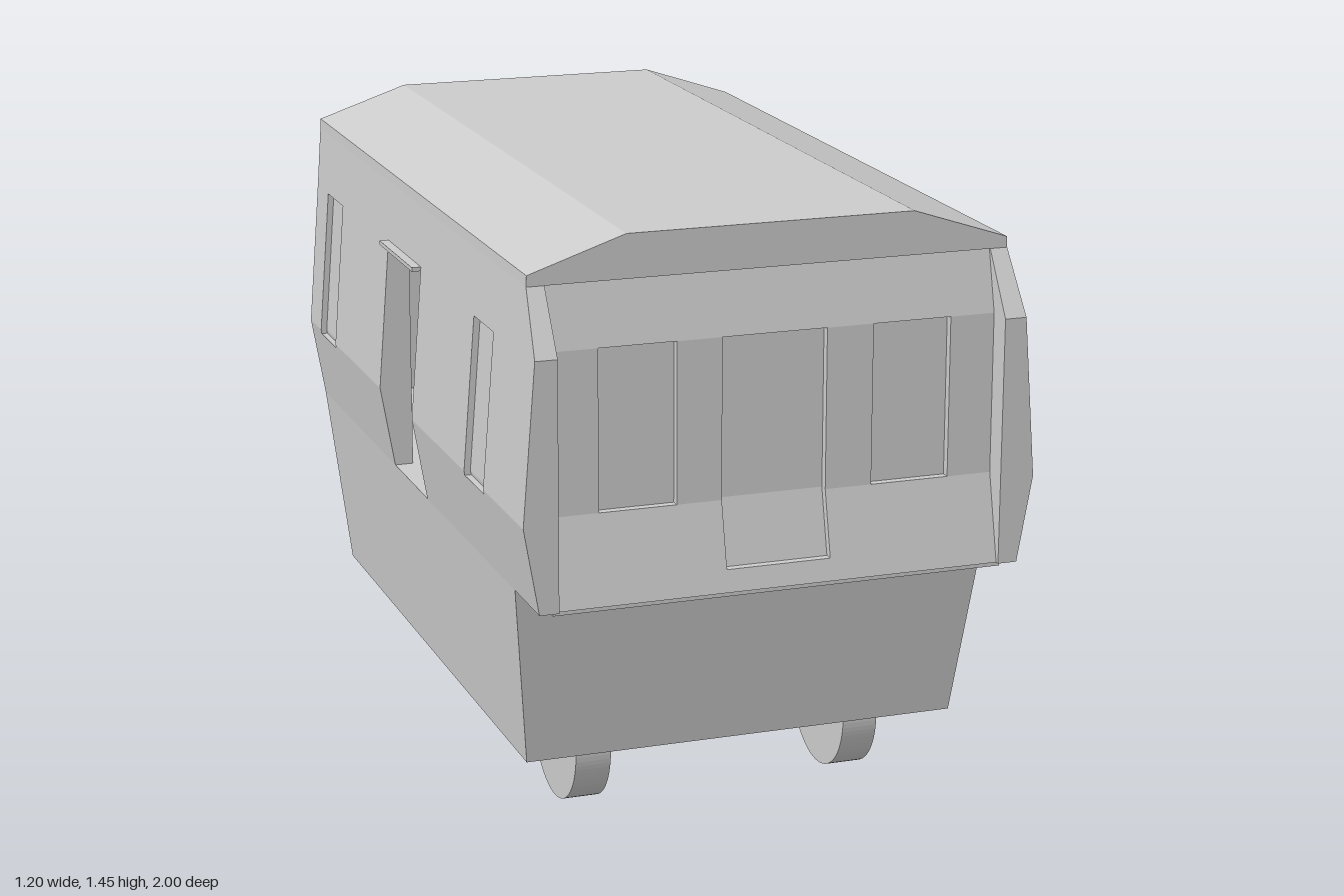
import * as THREE from 'three';

const material = new THREE.MeshStandardMaterial({ color: 0xcccccc, flatShading: true });

// Outlines as [offset, y]: side wall outline and nose outline
const SIDE = [[0.565, 0.64], [0.6, 0.84], [0.571, 1.21], [0.561, 1.35]];
const NOSE = [[0.99, 0.64], [0.942, 0.84], [0.94, 1.21], [0.905, 1.35]];

// Offset of an outline at height y
function offsetAt(profile, y) {
  for (let i = 1; i < profile.length; i++) {
    const [a, ya] = profile[i - 1], [b, yb] = profile[i];
    if (y <= yb) return a + (b - a) * (y - ya) / (yb - ya);
  }
  return profile[profile.length - 1][0];
}

// Piece of outline between two heights, with both ends
function outline(profile, y0, y1) {
  const mid = profile.filter(p => p[1] > y0 + 1e-4 && p[1] < y1 - 1e-4);
  return [[offsetAt(profile, y0), y0], ...mid, [offsetAt(profile, y1), y1]];
}

function prism(points, from, to, holes = []) {
  const shape = new THREE.Shape(points.map(p => new THREE.Vector2(p[0], p[1])));
  for (const h of holes) shape.holes.push(new THREE.Path(h.map(p => new THREE.Vector2(p[0], p[1]))));
  return new THREE.ExtrudeGeometry(shape, { depth: to - from, bevelEnabled: false, curveSegments: 16 })
    .translate(0, 0, from);
}

// Wall piece following an outline, extruded along the wall
function slab(profile, inner, side, from, to, y0, y1, recess = 0) {
  const outer = outline(profile, y0, y1).map(([o, y]) => [side * (o - recess), y]);
  return prism([...outer, [side * inner, y1], [side * inner, y0]], from, to);
}

export function createModel() {
  const model = new THREE.Group();
  const add = (name, geometry, parent = model) => {
    const mesh = new THREE.Mesh(geometry, material);
    mesh.name = name;
    parent.add(mesh);
    return mesh;
  };
  const group = name => {
    const g = new THREE.Group();
    g.name = name;
    model.add(g);
    return g;
  };
  const box = (x0, x1, y0, y1, z0, z1) => new THREE.BoxGeometry(x1 - x0, y1 - y0, z1 - z0)
    .translate((x0 + x1) / 2, (y0 + y1) / 2, (z0 + z1) / 2);

  // Lower body, tapering downwards on all sides
  const base = box(-0.565, 0.565, 0.2, 0.64, -0.88, 0.82);
  const bp = base.attributes.position;
  for (let i = 0; i < bp.count; i++) {
    if (bp.getY(i) < 0.4) {
      bp.setX(i, Math.sign(bp.getX(i)) * 0.52);
      bp.setZ(i, bp.getZ(i) > 0 ? 0.75 : -0.81);
    }
  }
  base.computeVertexNormals();
  add('lowerBody', base);
  add('noseFloor', box(-0.53, 0.53, 0.63, 0.641, 0.8, 0.985));

  // Roof
  add('roof', prism([[-0.561, 1.35], [0.561, 1.35], [0.56, 1.375], [0.335, 1.45],
    [-0.335, 1.45], [-0.56, 1.375]], -0.88, 0.91));

  // Side walls with recessed windows and a door bay
  for (const s of [1, -1]) {
    const wall = group(s > 0 ? 'leftWall' : 'rightWall');
    const piece = (name, ...args) => add(name, slab(SIDE, 0.52, s, ...args), wall);
    for (const [z0, z1] of [[-0.88, -0.77], [-0.62, -0.18], [0.11, 0.55]]) {
      piece('wallSection', z0, z1, 0.64, 1.35);
    }
    for (const [z0, z1] of [[-0.77, -0.62], [0.55, 0.7]]) {
      piece('wallBelowWindow', z0, z1, 0.64, 0.83);
      piece('window', z0, z1, 0.83, 1.2, 0.015);
      piece('wallAboveWindow', z0, z1, 1.2, 1.35);
    }
    piece('wallAboveDoor', -0.18, 0.11, 1.2, 1.35);
    // The left door is shut, the right doorway stands open
    if (s > 0) piece('sideDoor', -0.18, 0.11, 0.64, 1.2, 0.02);
    const lip = [0.55 * s, 0.593 * s].sort((a, b) => a - b);
    add('doorLip', box(lip[0], lip[1], 1.2, 1.21, -0.18, 0.11), wall);

    // Front pillar, leaning back above the windows
    const pillar = slab(SIDE, 0.52, s, 0.7, 1, 0.64, 1.35);
    const shape = pillar.attributes.position;
    // The inner edge needs its own knee, so it is built as two stacked pieces
    pillar.dispose();
    piece('pillarLower', 0.7, 1, 0.64, 1.21);
    const upper = slab(SIDE, 0.52, s, 0.7, 1, 1.21, 1.35);
    const p = upper.attributes.position;
    for (let i = 0; i < p.count; i++) if (p.getZ(i) > 0.9 && p.getY(i) > 1.3) p.setZ(i, 0.91);
    upper.computeVertexNormals();
    add('pillarUpper', upper, wall);
  }

  // Rear wall with open doorway, and step
  const edge = SIDE.map(([x, y]) => [x - 0.002, y]);
  const mirrored = edge.map(([x, y]) => [-x, y]).reverse();
  const rear = [[-0.1, 0.64], ...mirrored.slice().reverse(), ...edge.slice().reverse(),
    [0.13, 0.64], [0.13, 1.21], [-0.1, 1.21]];
  add('rearWall', prism(rear, -0.881, -0.84));
  add('rearStep', box(-0.1, 0.13, 0.62, 0.64, -1, -0.86));

  // Nose panel between the pillars, with two windows and a door
  const nose = group('nosePanel');
  const nosePiece = (name, x0, x1, y0, y1, recess = 0) => {
    const g = slab(NOSE, 0.88, 1, -x1, -x0, y0, y1, recess).rotateY(-Math.PI / 2);
    add(name, g, nose);
  };
  for (const [x0, x1] of [[-0.52, -0.41], [-0.23, -0.125], [0.12, 0.23], [0.415, 0.52]]) {
    nosePiece('nosePost', x0, x1, 0.64, 1.21);
  }
  for (const [x0, x1] of [[-0.41, -0.23], [0.23, 0.415]]) {
    nosePiece('noseBelowWindow', x0, x1, 0.64, 0.84);
    nosePiece('noseWindow', x0, x1, 0.84, 1.21, 0.02);
  }
  nosePiece('noseSill', -0.125, 0.12, 0.64, 0.69);
  nosePiece('noseDoor', -0.125, 0.12, 0.69, 1.21, 0.02);
  nosePiece('noseBrow', -0.52, 0.52, 1.21, 1.35);

  // Wheels, each with a wedge missing at the top
  const wheelShape = new THREE.Shape();
  const open = THREE.MathUtils.degToRad(18);
  wheelShape.moveTo(0, 0);
  wheelShape.absarc(0, 0, 0.167, Math.PI - open, Math.PI * 2 + open, false);
  wheelShape.closePath();
  const wheelGeometry = new THREE.ExtrudeGeometry(wheelShape,
    { depth: 0.085, bevelEnabled: false, curveSegments: 28 })
    .translate(0, 0, -0.0425).rotateY(Math.PI / 2);
  const wheels = group('wheels');
  for (const x of [-0.328, 0.337]) {
    for (const z of [0.485, -0.08, -0.64]) {
      add('wheel', wheelGeometry, wheels).position.set(x, 0.167, z);
    }
  }
  return model;
}
